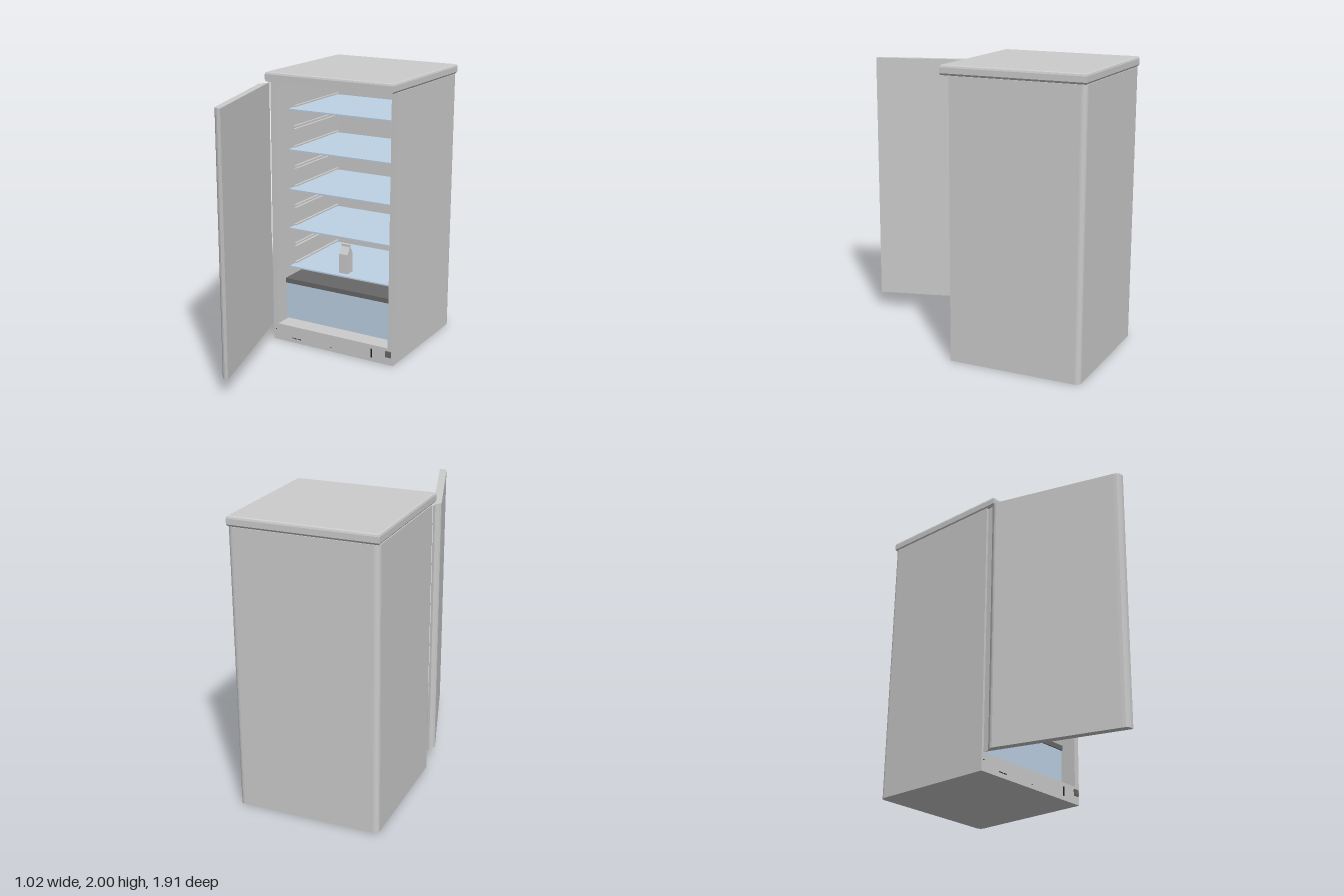
import * as THREE from 'three';

const grey = new THREE.MeshStandardMaterial({ color: 0xcccccc });
const tint = (color) => new THREE.MeshStandardMaterial({ color });
const glass = tint(0xbed2e6);
const dark = tint(0x686868);
const black = tint(0x222222);

// Box given by its limits on each axis
function box(parent, name, [x0, x1], [y0, y1], [z0, z1], material = grey) {
  const mesh = new THREE.Mesh(new THREE.BoxGeometry(x1 - x0, y1 - y0, z1 - z0), material);
  mesh.position.set((x0 + x1) / 2, (y0 + y1) / 2, (z0 + z1) / 2);
  mesh.name = name;
  parent.add(mesh);
  return mesh;
}

// Upright prism from a plan outline of [x, z] points
function prism(parent, name, points, y0, y1, material = grey) {
  const shape = new THREE.Shape(points.map(([x, z]) => new THREE.Vector2(x, -z)));
  const geometry = new THREE.ExtrudeGeometry(shape, { depth: y1 - y0, bevelEnabled: false });
  geometry.rotateX(-Math.PI / 2).translate(0, y0, 0);
  const mesh = new THREE.Mesh(geometry, material);
  mesh.name = name;
  parent.add(mesh);
  return mesh;
}

// Quarter circle of plan points
function arc(cx, cz, r, from, to, steps = 5) {
  return Array.from({ length: steps + 1 }, (_, i) => {
    const a = from + ((to - from) * i) / steps;
    return [cx + r * Math.cos(a), cz + r * Math.sin(a)];
  });
}

export function createModel() {
  const model = new THREE.Group();
  model.name = 'refrigerator';
  const L = -0.49, R = 0.503, front = -0.02, back = -0.95;
  const inL = -0.45, inR = 0.46, inBack = -0.88, floorY = 0.125, r = 0.035;

  // Cabinet: U-shaped wall with rounded rear corners, plinth and ceiling
  const cabinet = new THREE.Group();
  cabinet.name = 'cabinet';
  model.add(cabinet);
  prism(cabinet, 'cabinetWalls', [
    [L, front], [inL, front], [inL, inBack], [inR, inBack], [inR, front], [R, front],
    ...arc(R - r, back + r, r, 0, -Math.PI / 2),
    ...arc(L + r, back + r, r, -Math.PI / 2, -Math.PI),
  ], 0, 1.932);
  box(cabinet, 'plinth', [inL, inR], [0, floorY], [inBack, front]);
  box(cabinet, 'ceiling', [inL, inR], [1.918, 1.932], [inBack, front]);
  for (const x of [-0.265, 0.01, 0.285])
    box(cabinet, 'backWallSeam', [x - 0.003, x + 0.003], [floorY, 1.918], [inBack, inBack + 0.004]);

  // Worktop with softened edges: inset each row of a segmented box
  const rows = [[1.932, 0.01], [1.945, 0], [1.983, 0], [1.995, 0.004], [2, 0.013]];
  let top = new THREE.BoxGeometry(1, 1, 1, 1, rows.length - 1, 1);
  const p = top.attributes.position;
  for (let i = 0; i < p.count; i++) {
    const k = Math.round((p.getY(i) + 0.5) * (rows.length - 1));
    const [y, inset] = rows[k];
    const x = p.getX(i) > 0 ? 0.506 - inset : -0.492 + inset;
    const z = p.getZ(i) > 0 ? 0.045 - (k ? inset : 0) : -0.953 + inset;
    p.setXYZ(i, x, y, z);
  }
  top = top.toNonIndexed();
  top.computeVertexNormals();
  const worktop = new THREE.Mesh(top, grey);
  worktop.name = 'worktop';
  model.add(worktop);

  // Open door, hinged at the front corner
  prism(model, 'door', [
    [-0.488, -0.005], [-0.49, 0.035], [-0.508, 0.06], [-0.515, 0.075], [-0.515, 0.088],
    [-0.272, 0.915], [-0.264, 0.936], [-0.25, 0.949], [-0.235, 0.954], [-0.21, 0.952],
  ].reverse(), 0.12, 1.92);

  // Paired side rails, with a glass shelf on every other pair
  for (let i = 0; i < 9; i++) {
    const y = 0.525 + i * 0.1475;
    for (const dy of [-0.011, 0.011])
      for (const [a, b] of [[inL, inL + 0.018], [inR - 0.018, inR]])
        box(model, 'shelfRail', [a, b], [y + dy - 0.005, y + dy + 0.005], [inBack, -0.25]);
    if (i % 2 === 0)
      box(model, 'shelf', [inL + 0.002, inR - 0.002], [y - 0.005, y + 0.005], [-0.86, -0.18], glass);
  }

  // Bottom drawer with its cover
  const drawer = new THREE.Group();
  drawer.name = 'drawer';
  model.add(drawer);
  box(drawer, 'drawerFront', [inL + 0.003, inR - 0.003], [0.135, 0.415], [-0.15, -0.135], glass);
  box(drawer, 'drawerBase', [inL + 0.01, inR - 0.01], [0.135, 0.145], [-0.84, -0.15], glass);
  box(drawer, 'drawerCover', [inL, inR], [0.415, 0.45], [-0.86, -0.125], dark);

  // Drink carton with a gabled top
  const gable = new THREE.Shape([[-0.036, 0], [0.036, 0], [0.036, 0.145], [0.005, 0.198], [0.005, 0.215],
    [-0.005, 0.215], [-0.005, 0.198], [-0.036, 0.145]].map(([a, b]) => new THREE.Vector2(a, b)));
  const carton = new THREE.Mesh(new THREE.ExtrudeGeometry(gable, { depth: 0.07, bevelEnabled: false }), grey);
  carton.rotation.y = Math.PI / 2;
  carton.position.set(-0.055, 0.53, -0.266);
  carton.name = 'carton';
  model.add(carton);

  // Plinth controls: button, slot, key mark and indicator dots
  box(model, 'button', [0.445, 0.488], [0.06, 0.104], [front, -0.01], dark);
  box(model, 'switchSlot', [0.327, 0.338], [0.03, 0.095], [front, -0.016], black);
  box(model, 'keyMark', [-0.475, -0.463], [0.076, 0.08], [front, -0.017], black).rotation.z = 0.7;
  for (let i = 0; i < 7; i++)
    box(model, 'indicator', [-0.327 + i * 0.011, -0.321 + i * 0.011], [0.031, 0.037], [front, -0.017], black);
  box(model, 'indicator', [-0.003, 0.003], [0.027, 0.033], [front, -0.017], black);

  return model;
}
